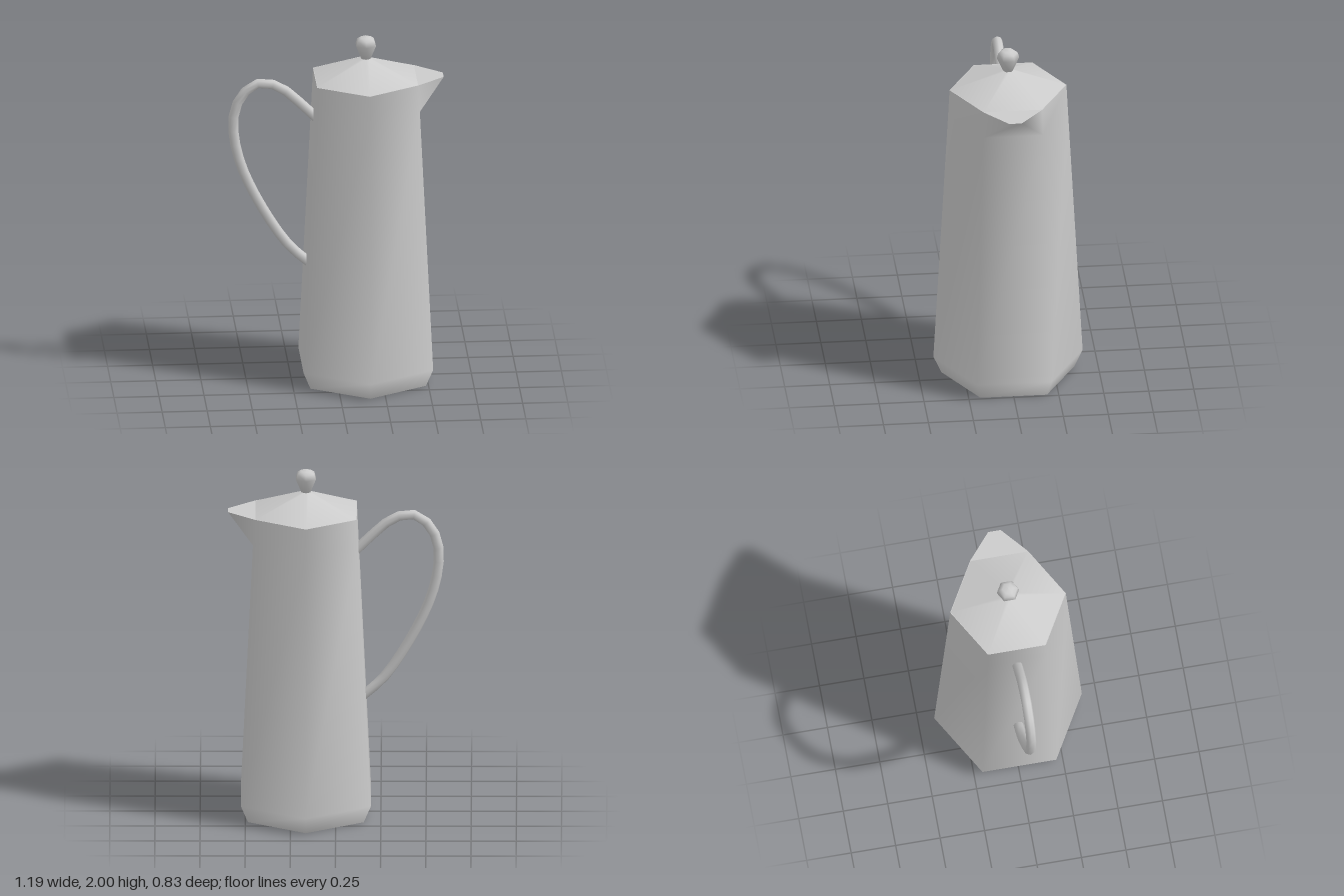
import * as THREE from 'three';
import { mergeVertices } from 'three/addons/utils/BufferGeometryUtils.js';

const CX = 0.165; // axis of the pot
const TOP = 1.765;
const SPOUT_BASE = 1.61;

const material = new THREE.MeshStandardMaterial({ color: 0xcccccc });

function part(name, geometry, x = 0, y = 0) {
  const mesh = new THREE.Mesh(geometry, material);
  mesh.name = name;
  mesh.position.set(x, y, 0);
  return mesh;
}

// Six-sided ring; the two corners of the +x side are doubled so they can form the lip.
function ring(r, y, lip = false) {
  const pts = [];
  for (let i = 0; i < 6; i++) {
    const a = (i * Math.PI) / 3;
    const corner = [r * Math.sin(a), y, r * Math.cos(a)];
    const tip = lip ? [0.43, y, i === 1 ? 0.035 : -0.035] : corner;
    if (i === 2) pts.push(tip);
    pts.push(corner);
    if (i === 1) pts.push(tip);
  }
  return pts;
}

// Smooth skin between successive rings
function loft(rings) {
  const pos = [];
  for (let k = 0; k < rings.length - 1; k++) {
    const lo = rings[k], hi = rings[k + 1];
    for (let i = 0; i < lo.length; i++) {
      const j = (i + 1) % lo.length;
      pos.push(...lo[i], ...lo[j], ...hi[j], ...lo[i], ...hi[j], ...hi[i]);
    }
  }
  const g = new THREE.BufferGeometry();
  g.setAttribute('position', new THREE.Float32BufferAttribute(pos, 3));
  const merged = mergeVertices(g);
  merged.computeVertexNormals();
  return merged;
}

// Flat cover over one ring
function cap(pts, up) {
  const pos = [];
  pts.forEach((p, i) => {
    const q = pts[(i + 1) % pts.length];
    pos.push(0, p[1], 0, ...(up ? p : q), ...(up ? q : p));
  });
  const g = new THREE.BufferGeometry();
  g.setAttribute('position', new THREE.Float32BufferAttribute(pos, 3));
  g.computeVertexNormals();
  return g;
}

export function createModel() {
  const model = new THREE.Group();
  model.name = 'coffeePot';

  // Tapered six-sided body, with the top of the +x side pulled out into a spout
  const base = ring(0.37, 0);
  const rim = ring(0.325, TOP, true);
  model.add(part('body', loft([base, ring(0.415, 0.1), ring(0.333, SPOUT_BASE), rim]), CX));
  model.add(part('bodyBottom', cap(base, false), CX));
  model.add(part('bodyTop', cap(rim, true), CX));

  // Low pyramid lid
  const lidHeight = 0.112;
  model.add(part('lid', new THREE.CylinderGeometry(0.02, 0.322, lidHeight, 6, 1, true), CX, TOP + lidHeight / 2));

  // Faceted knob
  const knobProfile = [[0, 1.865], [0.026, 1.868], [0.063, 1.953], [0.053, 1.983], [0.032, 1.997], [0, 2]]
    .map(([r, y]) => new THREE.Vector2(r, y));
  model.add(part('knob', new THREE.LatheGeometry(knobProfile, 6), CX));

  // Looped handle, its ends set into the wall
  const path = [
    [-0.1, 1.52], [-0.2, 1.62], [-0.3, 1.707], [-0.37, 1.737], [-0.45, 1.735], [-0.53, 1.66],
    [-0.568, 1.55], [-0.565, 1.42], [-0.52, 1.24], [-0.4, 0.99], [-0.26, 0.78], [-0.15, 0.68],
  ].map(([x, y]) => new THREE.Vector3(x, y, 0));
  const curve = new THREE.CatmullRomCurve3(path);
  model.add(part('handle', new THREE.TubeGeometry(curve, 20, 0.028, 8)));

  return model;
}
